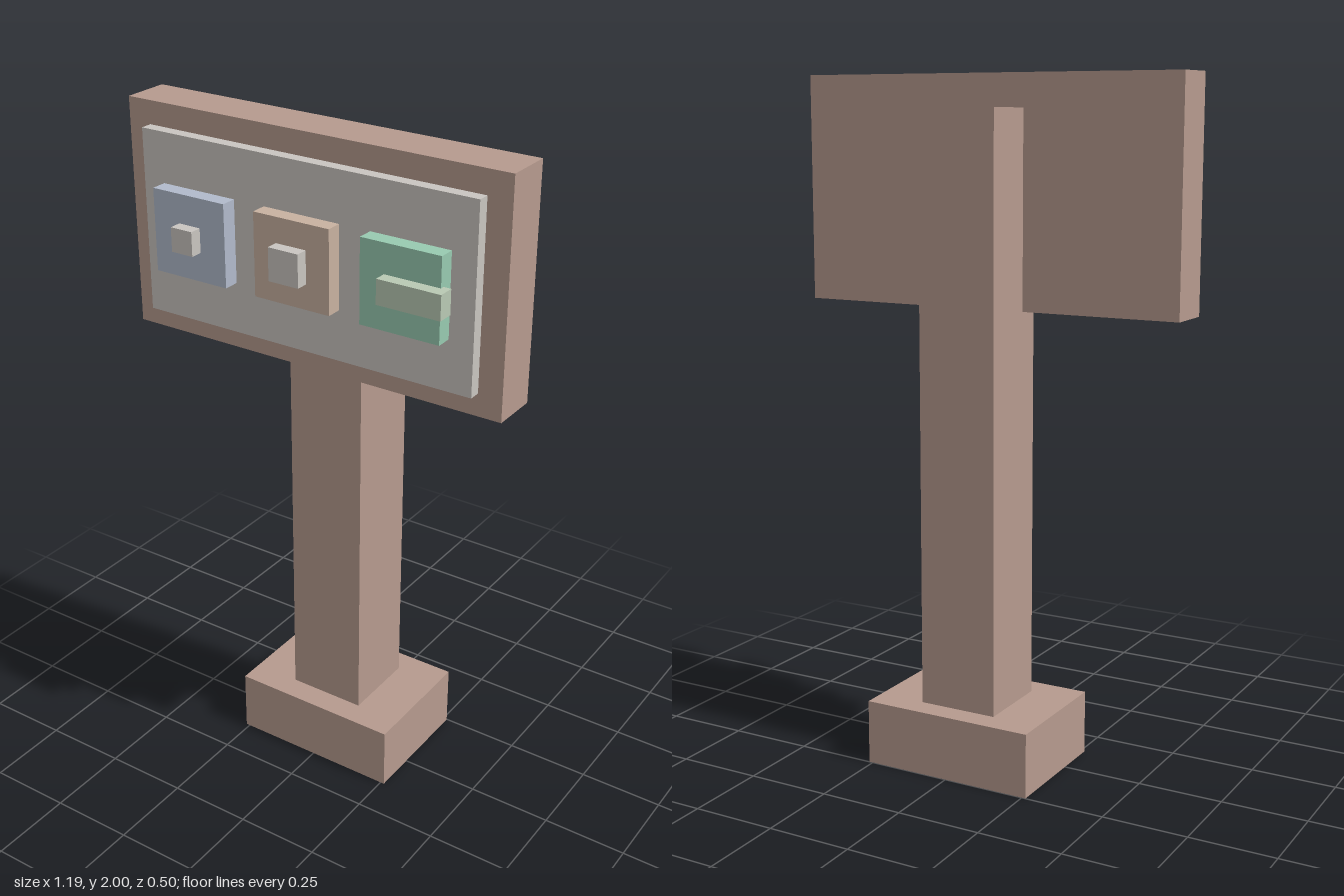
import * as THREE from 'three';

const material = (name, color) => {
  const m = new THREE.MeshStandardMaterial({ color });
  m.name = name;
  return m;
};

export function createModel() {
  const group = new THREE.Group();
  group.name = 'controlPanelStand';
  const brown = material('brown', 0xb69a8e);
  const grey = material('grey', 0xc9c5c0);
  const blue = material('blue', 0xb1bacb);
  const tan = material('tan', 0xc8b1a0);
  const green = material('green', 0x98cab0);
  const paleGreen = material('paleGreen', 0xb9c9b4);

  // Box given by its minimum and maximum on each axis
  const box = (name, mat, [x0, x1], [y0, y1], [z0, z1]) => {
    const mesh = new THREE.Mesh(new THREE.BoxGeometry(x1 - x0, y1 - y0, z1 - z0), mat);
    mesh.position.set((x0 + x1) / 2, (y0 + y1) / 2, (z0 + z1) / 2);
    mesh.name = name;
    group.add(mesh);
  };

  // Stand and board
  box('base', brown, [-0.262, 0.262], [0, 0.19], [-0.249, 0.131]);
  box('post', brown, [-0.119, 0.119], [0.19, 1.905], [-0.178, 0.057]);
  box('board', brown, [-0.594, 0.594], [1.34, 2], [-0.01, 0.131]);
  box('panel', grey, [-0.523, 0.523], [1.405, 1.933], [0.131, 0.166]);

  // Three plates, each with a raised knob or lever
  const controls = [
    ['right', -0.336, blue, grey, [-0.37, -0.3], 0.035],
    ['middle', 0, tan, grey, [-0.047, 0.047], 0.047],
    ['left', 0.332, green, paleGreen, [0.285, 0.473], 0.035],
  ];
  for (const [side, x, plateMat, knobMat, knobX, h] of controls) {
    box(side + 'Plate', plateMat, [x - 0.119, x + 0.119], [1.551, 1.789], [0.166, 0.213]);
    box(side + 'Knob', knobMat, knobX, [1.67 - h, 1.67 + h], [0.201, 0.249]);
  }
  return group;
}
